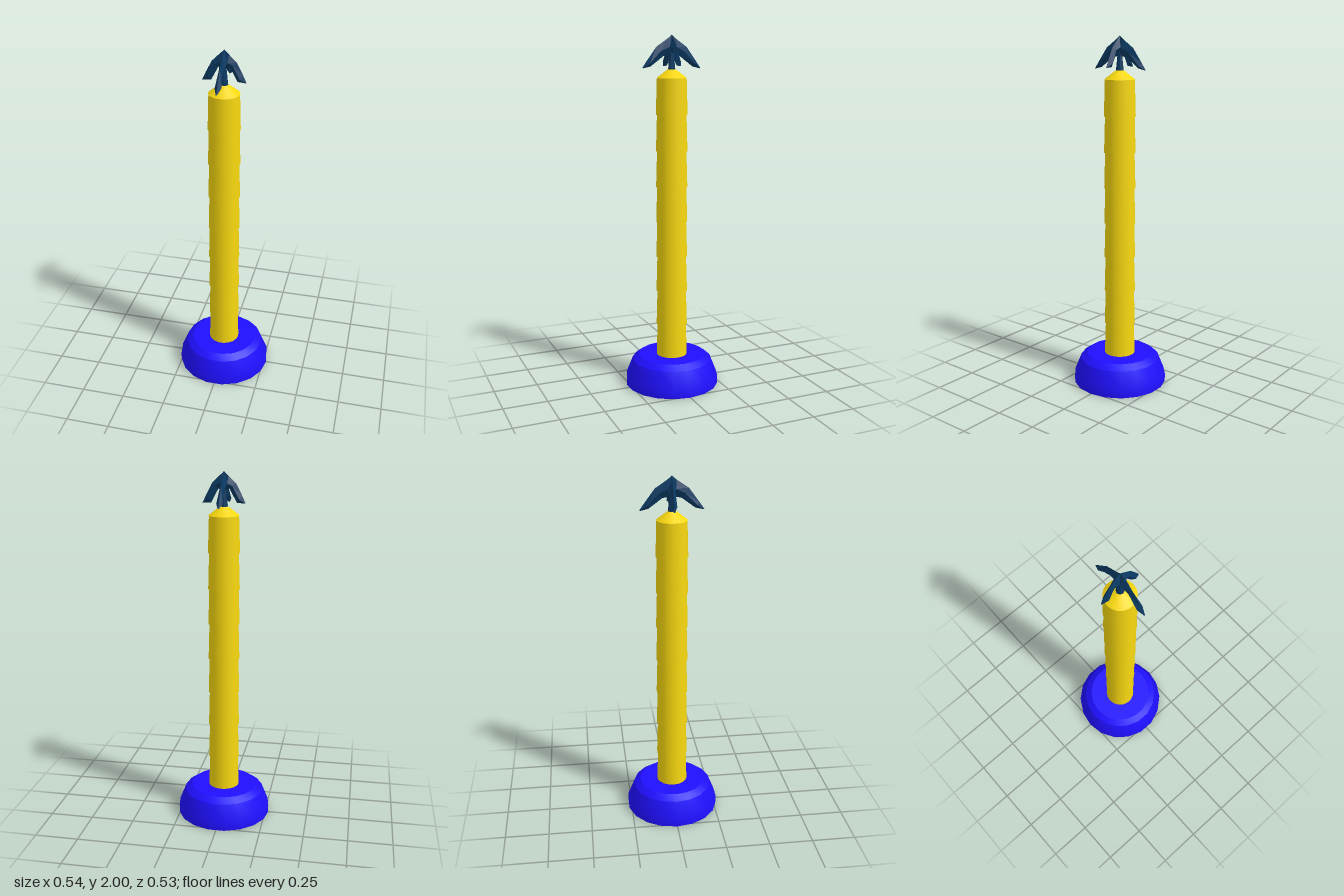
import * as THREE from 'three';
import { toCreasedNormals } from 'three/addons/utils/BufferGeometryUtils.js';

const SIDES = 18;

function addMesh(parent, name, geometry, material) {
  const mesh = new THREE.Mesh(geometry, material);
  mesh.name = name;
  parent.add(mesh);
  return mesh;
}

// Cylinder between two heights, with a corner on the x axis
function column(rTop, rBottom, y0, y1) {
  const g = new THREE.CylinderGeometry(rTop, rBottom, y1 - y0, SIDES, 1, false, Math.PI / 2);
  return g.translate(0, (y0 + y1) / 2, 0);
}

// Hooked blade along +x with a diamond cross-section.
// Each section: [ridge x, ridge y, underside x, underside y, half width]
function bladeGeometry(sections) {
  const pos = [], index = [];
  for (const [tx, ty, bx, by, w] of sections) {
    const mx = (tx + bx) / 2, my = (ty + by) / 2;
    pos.push(tx, ty, 0, mx, my, w, bx, by, 0, mx, my, -w);
  }
  for (let s = 0; s < sections.length - 1; s++) {
    for (let k = 0; k < 4; k++) {
      const a = s * 4 + k, b = s * 4 + (k + 1) % 4;
      index.push(a, b, a + 4, b, b + 4, a + 4);
    }
  }
  const g = new THREE.BufferGeometry();
  g.setAttribute('position', new THREE.Float32BufferAttribute(pos, 3));
  g.setIndex(index);
  g.computeVertexNormals();
  return g;
}

export function createModel() {
  const model = new THREE.Group();
  model.name = 'post';
  const blue = new THREE.MeshStandardMaterial({ color: 0x1f0fff, side: THREE.DoubleSide });
  const yellow = new THREE.MeshStandardMaterial({ color: 0xf7d70f });
  const navy = new THREE.MeshStandardMaterial({ color: 0x0b3a63, flatShading: true, side: THREE.DoubleSide });

  // Hollow foot, open underneath
  const profile = [[0.27, 0], [0.27, 0.045], [0.23, 0.145], [0.192, 0.173], [0, 0.173]]
    .map(([r, y]) => new THREE.Vector2(r, y));
  const foot = new THREE.LatheGeometry(profile, SIDES, Math.PI / 2);
  addMesh(model, 'foot', toCreasedNormals(foot, 0.55), blue);
  addMesh(model, 'footSocket', column(0.088, 0.088, 0.02, 0.172), blue);

  // Stacked shaft segments, each overhanging the one below
  const shaft = new THREE.Group();
  shaft.name = 'shaft';
  model.add(shaft);
  for (let i = 0; i < 8; i++) {
    const y0 = i === 0 ? 0.172 : 0.155 + i * 0.2015;
    addMesh(shaft, 'shaftSegment', column(0.083, 0.089, y0, 0.155 + (i + 1) * 0.2015), yellow);
  }
  addMesh(shaft, 'shaftCap', column(0.022, 0.085, 1.767, 1.815), yellow);

  // Four-bladed finial
  const finial = new THREE.Group();
  finial.name = 'finial';
  model.add(finial);
  const spike = new THREE.CylinderGeometry(0.002, 0.022, 0.19, 8);
  addMesh(finial, 'spike', spike.translate(0, 1.905, 0), navy);
  const shortBlade = bladeGeometry([
    [0, 2, 0, 1.9, 0.006], [0.025, 1.977, 0.015, 1.9, 0.02], [0.065, 1.938, 0.03, 1.91, 0.013],
    [0.098, 1.875, 0.07, 1.835, 0.018], [0.118, 1.832, 0.114, 1.832, 0.003],
  ]);
  const longBlade = bladeGeometry([
    [0, 2, 0, 1.88, 0.006], [0.025, 1.98, 0.015, 1.89, 0.02], [0.09, 1.936, 0.05, 1.885, 0.012],
    [0.148, 1.858, 0.125, 1.83, 0.017], [0.174, 1.822, 0.168, 1.82, 0.003],
  ]);
  for (let i = 0; i < 4; i++) {
    const blade = addMesh(finial, i % 2 ? 'longBlade' : 'shortBlade', i % 2 ? longBlade : shortBlade, navy);
    blade.rotation.y = i * Math.PI / 2;
  }
  return model;
}
